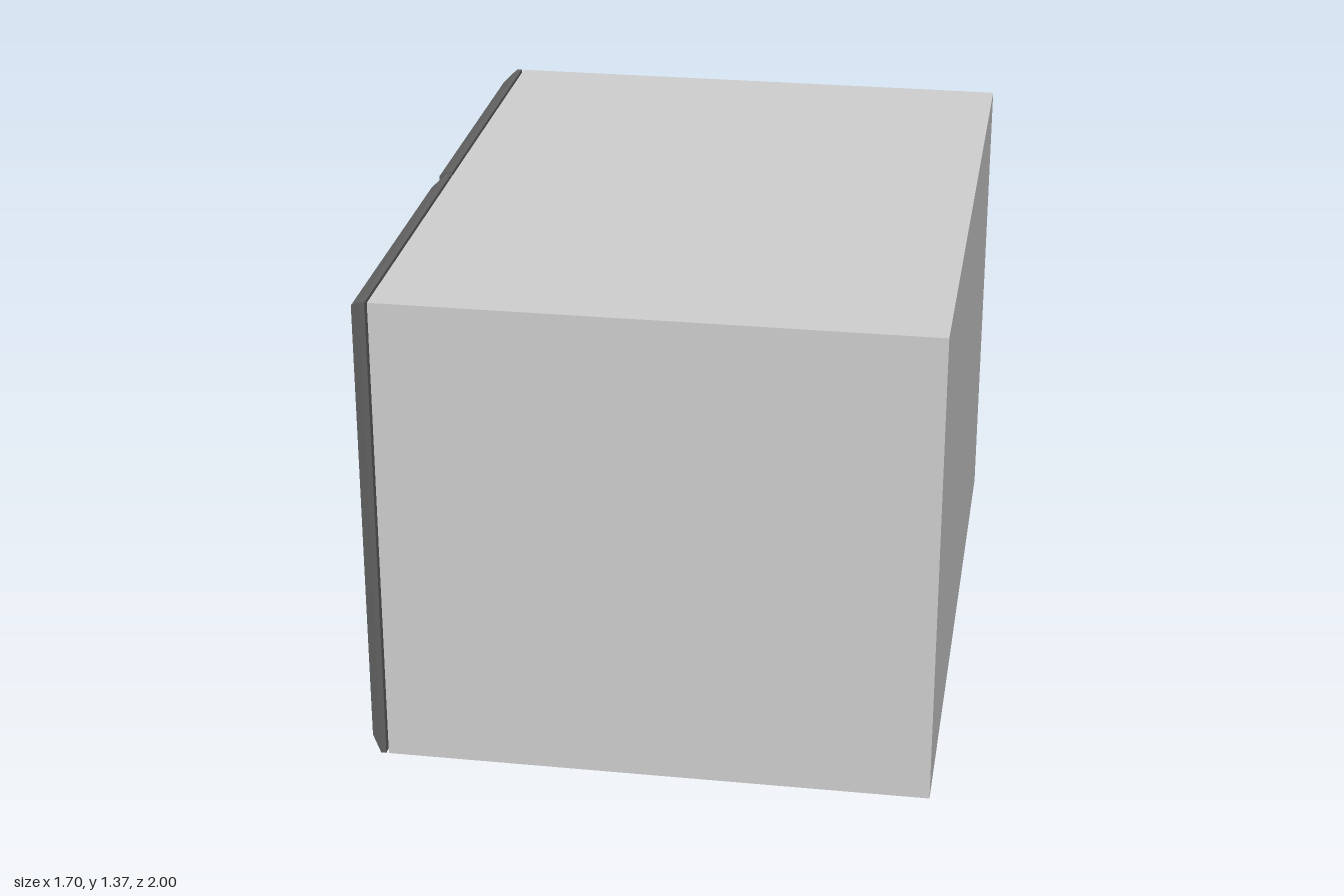
import * as THREE from 'three';

const bodyGrey = new THREE.MeshStandardMaterial({ color: 0xcccccc });
bodyGrey.name = 'bodyGrey';
const doorGrey = new THREE.MeshStandardMaterial({ color: 0x606060 });
doorGrey.name = 'doorGrey';
const handleGrey = new THREE.MeshStandardMaterial({ color: 0x888888 });
handleGrey.name = 'handleGrey';

const HEIGHT = 1.365;
const DOOR_FACE = -0.72;

// Door slab with a bevelled border around its outer (-x) face
function doorGeometry(length) {
  const geometry = new THREE.BoxGeometry(2, HEIGHT, length, 2, 1, 1);
  const p = geometry.attributes.position;
  for (let i = 0; i < p.count; i++) {
    const layer = Math.round(p.getX(i)); // -1 outer face, 0 bevel start, 1 back
    p.setX(i, [DOOR_FACE, -0.686, -0.671][layer + 1]);
    if (layer === -1) {
      p.setY(i, p.getY(i) - Math.sign(p.getY(i)) * 0.029);
      p.setZ(i, p.getZ(i) - Math.sign(p.getZ(i)) * 0.044);
    }
  }
  const flat = geometry.toNonIndexed();
  flat.computeVertexNormals();
  return flat;
}

// Rounded bow handle running along y, standing out towards -x
function handleGeometry() {
  const v = (x, y) => new THREE.Vector3(x, y, 0);
  const top = 0.56, bottom = 0.175, out = -0.83, r = 0.07;
  const path = new THREE.CurvePath();
  const bend = (a, b, c) => {
    const k = 0.5523;
    path.add(new THREE.CubicBezierCurve3(a, a.clone().lerp(b, k), c.clone().lerp(b, k), c));
  };
  path.add(new THREE.LineCurve3(v(DOOR_FACE + 0.005, top), v(out + r, top)));
  bend(v(out + r, top), v(out, top), v(out, top - r));
  path.add(new THREE.LineCurve3(v(out, top - r), v(out, bottom + r)));
  bend(v(out, bottom + r), v(out, bottom), v(out + r, bottom));
  path.add(new THREE.LineCurve3(v(out + r, bottom), v(DOOR_FACE + 0.005, bottom)));
  return new THREE.TubeGeometry(path, 60, 0.0225, 12, false);
}

export function createModel() {
  const model = new THREE.Group();
  model.name = 'cabinet';

  const add = (name, geometry, material, x, y, z) => {
    const mesh = new THREE.Mesh(geometry, material);
    mesh.name = name;
    mesh.position.set(x, y, z);
    model.add(mesh);
  };

  // Carcass
  add('cabinetBody', new THREE.BoxGeometry(1.515, HEIGHT, 2), bodyGrey, 0.0935, HEIGHT / 2, 0);

  // Pair of doors, each with a handle near the middle
  const gap = 0.007;
  const door = doorGeometry(1 - gap);
  const handle = handleGeometry();
  for (const [label, side] of [['front', 1], ['back', -1]]) {
    add(label + 'Door', door, doorGrey, 0, HEIGHT / 2, side * (1 + gap) / 2);
    add(label + 'Handle', handle, handleGrey, 0, 0, side * 0.2);
  }
  return model;
}
